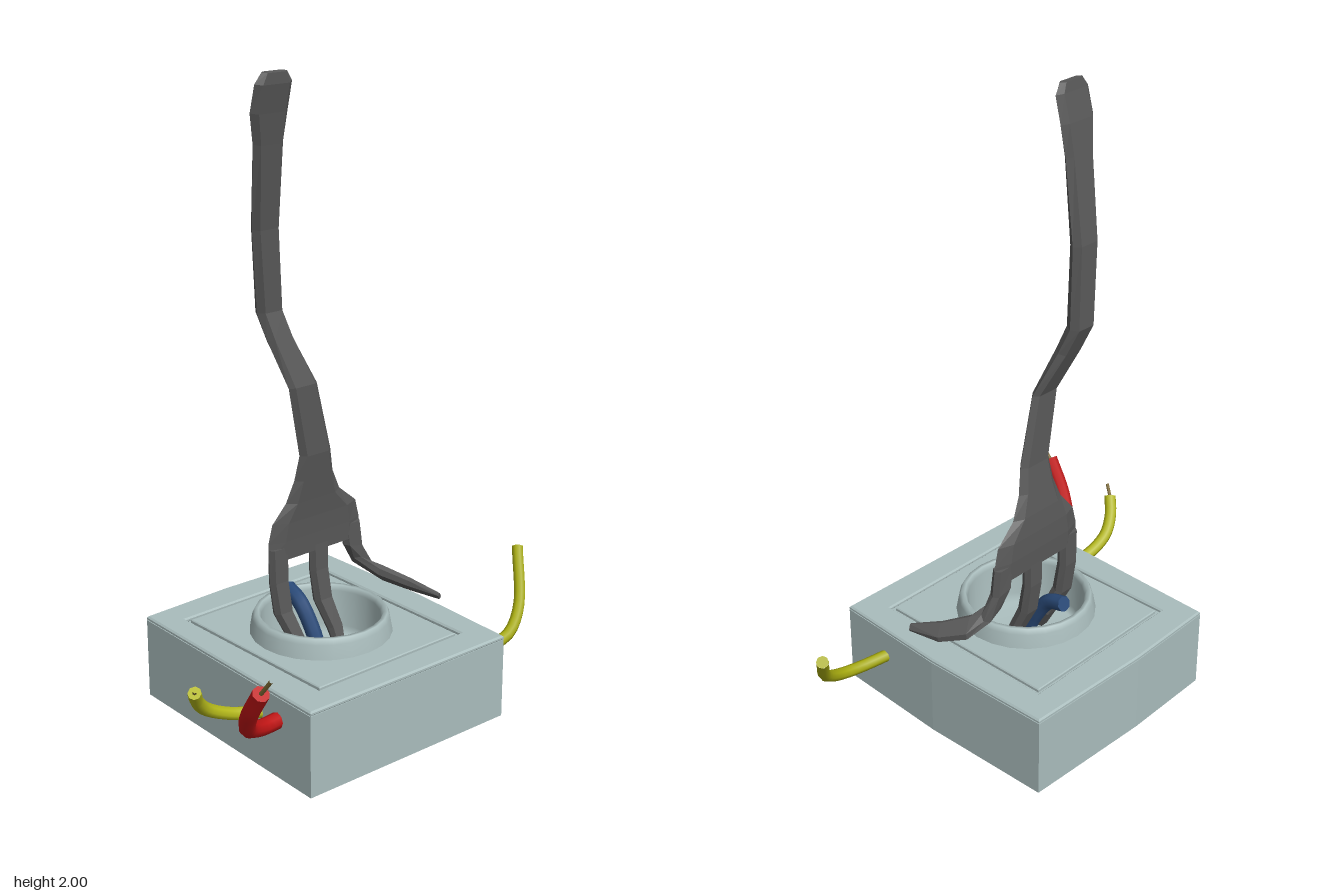
import * as THREE from 'three';

const V = (x, y, z) => new THREE.Vector3(x, y, z);
const mat = (color, flatShading = false) => new THREE.MeshStandardMaterial({ color, flatShading });

// Horizontal slab from an [x, z] outline, with optional holes
function slab(outline, y0, y1, bevel, holes = []) {
  const shape = new THREE.Shape(outline.map(([x, z]) => new THREE.Vector2(x, -z)));
  shape.holes = holes;
  const geo = new THREE.ExtrudeGeometry(shape, {
    depth: y1 - y0 - 2 * bevel, bevelEnabled: bevel > 0, bevelSize: bevel,
    bevelThickness: bevel, bevelOffset: -bevel, bevelSegments: 1, curveSegments: 12,
  });
  return geo.rotateX(-Math.PI / 2).translate(0, y0 + bevel, 0);
}

// Flat hexagonal bar through stations: centre c, half-width vector w, half thickness h
function loft(stations) {
  const profile = [[1, 0], [0.7, 1], [-0.7, 1], [-1, 0], [-0.7, -1], [0.7, -1]];
  const n = profile.length, pos = [], idx = [];
  stations.forEach(({ c, w, h }, i) => {
    const a = stations[Math.max(0, i - 1)].c;
    const b = stations[Math.min(stations.length - 1, i + 1)].c;
    const t = b.clone().sub(a).cross(w).setLength(h);
    for (const [u, v] of profile) {
      const p = c.clone().addScaledVector(w, u).addScaledVector(t, v);
      pos.push(p.x, p.y, p.z);
    }
    if (i === 0) return;
    for (let k = 0; k < n; k++) {
      const p = (i - 1) * n + k, q = (i - 1) * n + (k + 1) % n;
      idx.push(p, q, q + n, p, q + n, p + n);
    }
  });
  const last = (stations.length - 1) * n;
  for (let k = 1; k < n - 1; k++) idx.push(0, k + 1, k, last, last + k, last + k + 1);
  const geo = new THREE.BufferGeometry();
  geo.setAttribute('position', new THREE.Float32BufferAttribute(pos, 3));
  geo.setIndex(idx);
  geo.computeVertexNormals();
  return geo;
}

export function createModel() {
  const model = new THREE.Group();
  const casing = mat(0xa9bcbc), metal = mat(0x585858, true), copper = mat(0x7d6a35);
  const add = (parent, name, geo, material) => {
    const mesh = new THREE.Mesh(geo, material);
    mesh.name = name;
    parent.add(mesh);
    return mesh;
  };

  // Wall box, slightly irregular in outline
  const box = new THREE.Group();
  box.name = 'socketBox';
  model.add(box);
  const outline = [[-0.435, 0.41], [0.372, 0.42], [0.385, -0.335], [0, -0.347], [-0.433, -0.332], [-0.445, 0.1]];
  const square = (g) => [[-0.34 + g, 0.33 - g], [0.285 - g, 0.315 - g], [0.285 - g, -0.25 + g], [-0.345 + g, -0.24 + g]];
  const bore = () => new THREE.Path().absarc(-0.02, -0.05, 0.19, 0, Math.PI * 2, true);
  const squareHole = new THREE.Path(square(0).reverse().map(([x, z]) => new THREE.Vector2(x, -z)));
  add(box, 'boxBody', slab(outline, 0.03, 0.288, 0, [bore()]), casing);
  add(box, 'topFrame', slab(outline, 0.286, 0.302, 0.005, [squareHole]), casing);
  add(box, 'topPanel', slab(square(0.012), 0.286, 0.3, 0.003, [bore()]), casing);
  const lower = outline.map(([x, z]) => [-0.03 + (x + 0.03) * 0.985, 0.04 + (z - 0.04) * 0.985]);
  add(box, 'boxUnderside', slab(lower, 0.01, 0.05, 0.02), casing);
  add(box, 'bottomPanel', slab(square(0), 0, 0.02, 0.008), casing);

  // Raised collar running down into the round well
  const rim = [[0.222, 0.29], [0.212, 0.345], [0.204, 0.362], [0.192, 0.362], [0.184, 0.345],
    [0.18, 0.23], [0.165, 0.205], [0, 0.2]].map(([r, y]) => new THREE.Vector2(r, y));
  add(box, 'socketWell', new THREE.LatheGeometry(rim, 24).translate(-0.02, 0, 0.05), casing);

  // Bent fork: [y, x, z, half width, half thickness]
  const fork = new THREE.Group();
  fork.name = 'fork';
  model.add(fork);
  const bar = (rows) => loft(rows.map(([y, x, z, w, h]) => ({ c: V(x, y, z), w: V(0, 0, w), h })));
  add(fork, 'forkHandle', bar([
    [2, -0.05, 0.185, 0.045, 0.012], [1.97, -0.053, 0.186, 0.066, 0.015], [1.89, -0.073, 0.187, 0.067, 0.017],
    [1.8, -0.09, 0.178, 0.054, 0.018], [1.55, -0.132, 0.16, 0.047, 0.022], [1.3, -0.14, 0.143, 0.044, 0.024],
    [1.22, -0.11, 0.128, 0.046, 0.02], [1.08, -0.058, 0.085, 0.053, 0.014], [0.86, -0.064, 0.035, 0.06, 0.017],
    [0.78, -0.077, 0.03, 0.075, 0.018], [0.71, -0.088, 0.024, 0.105, 0.019], [0.65, -0.095, 0.012, 0.165, 0.019],
    [0.59, -0.098, 0.01, 0.18, 0.018], [0.53, -0.098, 0.01, 0.18, 0.016],
  ]), metal);
  for (const [z, end] of [[0.153, 0.12], [-0.005, -0.03]]) {
    add(fork, 'straightTine', bar([
      [0.57, -0.098, z, 0.036, 0.016], [0.46, -0.097, z, 0.034, 0.018], [0.36, -0.085, z - 0.006, 0.032, 0.02],
      [0.27, -0.05, end, 0.026, 0.018], [0.2, -0.02, end, 0.016, 0.012],
    ]), metal);
  }
  add(fork, 'bentTine', loft([
    { c: V(-0.098, 0.58, -0.135), w: V(0, 0, 0.036), h: 0.016 },
    { c: V(-0.098, 0.5, -0.145), w: V(0, 0.008, 0.036), h: 0.018 },
    { c: V(-0.09, 0.435, -0.178), w: V(0, 0.02, 0.033), h: 0.018 },
    { c: V(-0.055, 0.39, -0.235), w: V(0.014, 0.026, 0.026), h: 0.017 },
    { c: V(0.02, 0.362, -0.285), w: V(0.012, 0.022, 0.022), h: 0.014 },
    { c: V(0.12, 0.345, -0.318), w: V(0.003, 0.01, 0.006), h: 0.006 },
  ]), metal);

  // Insulated wire with closed ends and an optional bare tip
  function wire(name, color, radius, points, tip) {
    const group = new THREE.Group();
    group.name = name;
    model.add(group);
    const m = mat(color);
    const path = new THREE.CatmullRomCurve3(points);
    add(group, 'insulation', new THREE.TubeGeometry(path, 16, radius, 8), m);
    const end = points[points.length - 1];
    const cap = add(group, 'wireEnd', new THREE.CircleGeometry(radius, 8), m);
    cap.position.copy(end);
    cap.lookAt(end.clone().add(path.getTangent(1)));
    if (tip) add(group, 'bareTip', new THREE.TubeGeometry(new THREE.LineCurve3(end, tip), 1, 0.006, 6), copper);
  }
  wire('redWire', 0xc01515, 0.025, [V(0.22, 0.215, 0.4), V(0.235, 0.222, 0.49), V(0.27, 0.26, 0.56),
    V(0.32, 0.33, 0.595), V(0.395, 0.435, 0.61)], V(0.44, 0.49, 0.61));
  wire('frontYellowWire', 0xb4b81a, 0.02, [V(0.14, 0.205, 0.4), V(0.115, 0.218, 0.49), V(0.11, 0.26, 0.58),
    V(0.13, 0.31, 0.63), V(0.16, 0.36, 0.66)], V(0.19, 0.385, 0.68));
  wire('backYellowWire', 0xa8ac10, 0.019, [V(0.21, 0.2, -0.32), V(0.24, 0.187, -0.42), V(0.245, 0.2, -0.5),
    V(0.21, 0.26, -0.585), V(0.112, 0.412, -0.675)]);
  wire('blueWire', 0x2a4a78, 0.025, [V(-0.02, 0.2, 0.05), V(-0.06, 0.29, 0.055), V(-0.11, 0.36, 0.06),
    V(-0.175, 0.385, 0.056)]);

  return model;
}
